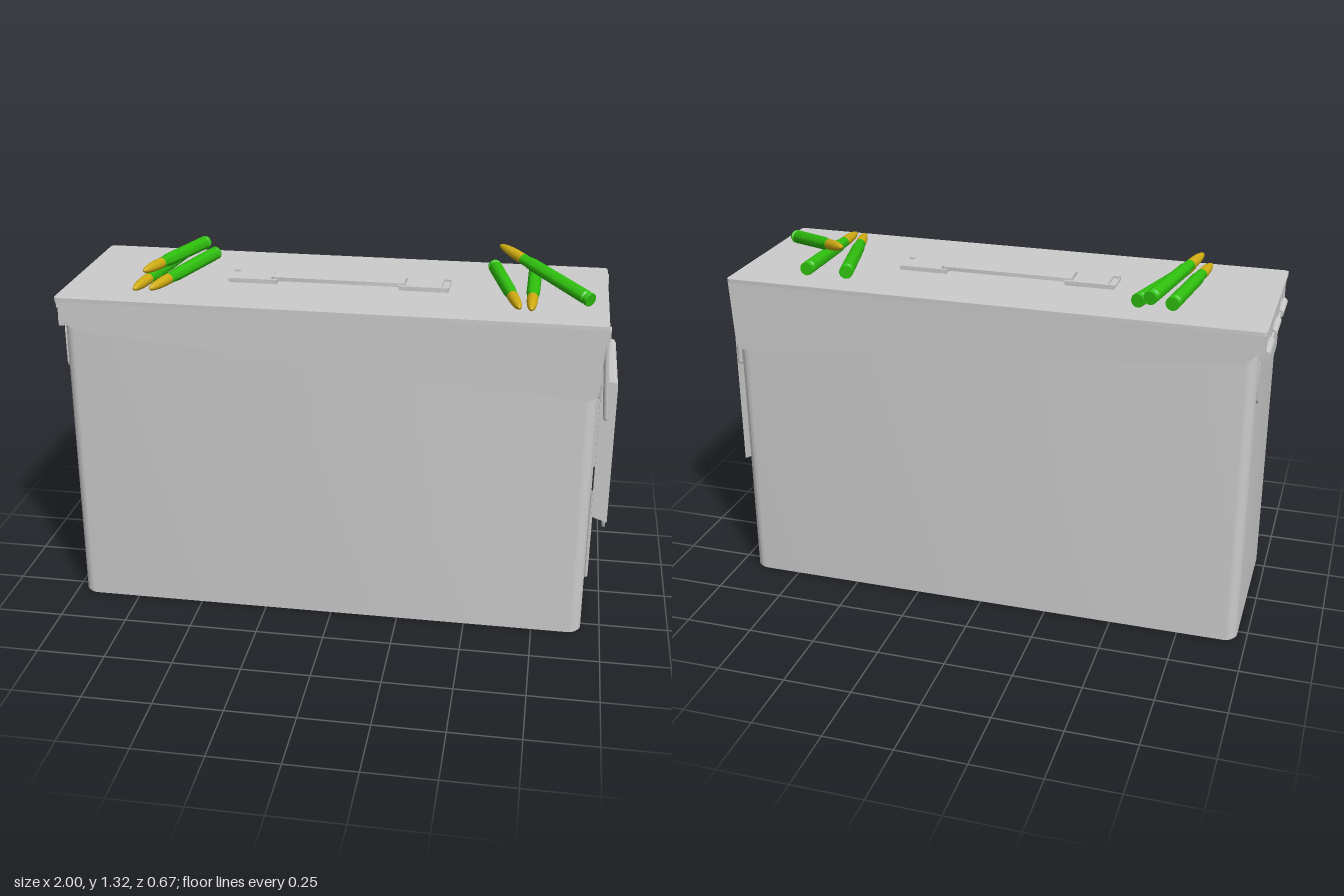
import * as THREE from 'three';
import { toCreasedNormals } from 'three/addons/utils/BufferGeometryUtils.js';

const V = (x, y, z) => new THREE.Vector3(x, y, z);
const paint = (color) => new THREE.MeshStandardMaterial({ color, side: THREE.DoubleSide });

export function createModel() {
  const root = new THREE.Group();
  const grey = paint(0xcccccc), green = paint(0x2fc00e), gold = paint(0xd0ac12);

  const add = (name, geo, parent = root, mat = grey) => {
    const m = new THREE.Mesh(geo, mat);
    m.name = name;
    parent.add(m);
    return m;
  };
  const group = (name, parent = root) => {
    const g = new THREE.Group();
    g.name = name;
    parent.add(g);
    return g;
  };
  // Box given by its two corners
  const box = (name, x0, x1, y0, y1, z0, z1, parent) => {
    const m = add(name, new THREE.BoxGeometry(x1 - x0, y1 - y0, z1 - z0), parent);
    m.position.set((x0 + x1) / 2, (y0 + y1) / 2, (z0 + z1) / 2);
    return m;
  };
  const extrude = (shape, depth) => toCreasedNormals(
    new THREE.ExtrudeGeometry(shape, { depth, bevelEnabled: false, curveSegments: 8 }), 0.5);
  const roundRect = (x0, x1, y0, y1, r) => {
    const s = new THREE.Shape(), h = Math.PI / 2;
    s.absarc(x1 - r, y1 - r, r, 0, h);
    s.absarc(x0 + r, y1 - r, r, h, 2 * h);
    s.absarc(x0 + r, y0 + r, r, 2 * h, 3 * h);
    s.absarc(x1 - r, y0 + r, r, 3 * h, 4 * h);
    return s;
  };
  // Horizontal rounded slab
  const slab = (name, x0, x1, z, r, y0, y1, parent) => {
    const m = add(name, extrude(roundRect(x0, x1, -z, z, r), y1 - y0).rotateX(-Math.PI / 2), parent);
    m.position.y = y0;
    return m;
  };
  // Upright plate on an end wall, drawn in (-z, y)
  const endPlate = (name, shape, x, depth, parent) => {
    const m = add(name, extrude(shape, depth).rotateY(Math.PI / 2), parent);
    m.position.x = x;
    return m;
  };
  // Bent wire made of straight rods with ball joints
  const wire = (name, pts, r, parent) => {
    const path = new THREE.CurvePath();
    for (let i = 1; i < pts.length; i++) path.add(new THREE.LineCurve3(pts[i - 1], pts[i]));
    const g = group(name, parent);
    path.curves.forEach((c) => {
      add('wireRod', new THREE.TubeGeometry(c, 1, r, 8), g);
      add('wireBend', new THREE.SphereGeometry(r, 8, 6), g).position.copy(c.v2);
    });
    return g;
  };
  const rodZ = (name, x, y, z0, z1, r, parent) => {
    const m = add(name, new THREE.CylinderGeometry(r, r, z1 - z0, 12).rotateX(Math.PI / 2), parent);
    m.position.set(x, y, (z0 + z1) / 2);
    return m;
  };

  // Can body
  slab('body', -0.965, 0.93, 0.327, 0.045, 0.008, 1.19);
  slab('bottomRim', -0.958, 0.923, 0.32, 0.04, 0, 0.008);

  // Lid: top sheet, sloping side skirts and end lips
  const lid = group('lid');
  slab('lidTop', -0.99, 0.95, 0.337, 0.015, 1.186, 1.2, lid);
  const skirt = new THREE.Shape();
  skirt.moveTo(-0.985, 1.19);
  skirt.lineTo(-0.968, 1.14);
  skirt.bezierCurveTo(-0.955, 1.1, -0.93, 1.08, -0.88, 1.074);
  skirt.lineTo(0.88, 0.929);
  skirt.quadraticCurveTo(0.928, 0.925, 0.932, 0.97);
  skirt.lineTo(0.945, 1.19);
  for (const s of [1, -1]) {
    add('lidSkirt', extrude(skirt, 0.012), lid).position.z = s > 0 ? 0.322 : -0.334;
  }
  box('latchEndLip', 0.928, 0.945, 1.155, 1.19, -0.325, 0.325, lid);
  box('hingeEndLip', -0.985, -0.964, 1.16, 1.19, -0.325, 0.325, lid);

  // Hinge on the left-hand end: plate, straps, knuckles and pin
  const hinge = group('hinge');
  endPlate('hingePlate', roundRect(-0.29, 0.29, 0.92, 1.1, 0.025), -0.972, 0.012, hinge);
  rodZ('hingePin', -0.982, 1.1, -0.28, 0.28, 0.008, hinge);
  for (const z of [-0.21, 0, 0.21]) {
    rodZ('hingeKnuckle', -0.984, 1.1, z - 0.07, z + 0.07, 0.015, hinge);
  }
  for (const z of [-0.29, -0.105, 0.105, 0.29]) {
    box('hingeStrap', -0.984, -0.964, 1.09, 1.17, z - 0.025, z + 0.025, hinge);
  }

  // Carrying handle lying flat on the lid
  const handle = group('handle');
  for (const [x0, x1] of [[-0.42, -0.24], [0.205, 0.385]]) {
    slab('handleBracket', x0, x1, 0.058, 0.008, 1.2, 1.208, handle);
    for (const s of [1, -1]) {
      box('bracketRail', x0, x1, 1.2, 1.216, s * 0.052 - 0.006, s * 0.052 + 0.006, handle);
    }
    slab('bracketCover', x0 + 0.025, x1 - 0.025, 0.046, 0.008, 1.208, 1.216, handle);
  }
  slab('handleGrip', -0.26, 0.225, 0.044, 0.008, 1.208, 1.222, handle);

  // Latch: mount, hinged cover with hole, pull tab and side flanges
  const latch = group('latch');
  latch.position.z = 0.01;
  endPlate('latchMount', roundRect(-0.225, 0.225, 0.9, 1.135, 0.006), 0.928, 0.014, latch);
  box('mountRib', 0.935, 0.955, 0.96, 0.985, -0.225, 0.225, latch);
  const cover = new THREE.Shape();
  cover.moveTo(-0.225, 0.95);
  cover.lineTo(-0.225, 0.42);
  cover.lineTo(-0.14, 0.42);
  cover.lineTo(-0.127, 0.37);
  cover.quadraticCurveTo(-0.122, 0.337, -0.09, 0.337);
  cover.lineTo(0.09, 0.337);
  cover.quadraticCurveTo(0.122, 0.337, 0.127, 0.37);
  cover.lineTo(0.14, 0.42);
  cover.lineTo(0.225, 0.42);
  cover.lineTo(0.225, 0.95);
  const hole = new THREE.Path();
  hole.absarc(0, 0.585, 0.039, 0, Math.PI * 2, true);
  cover.holes.push(hole);
  endPlate('latchCover', cover, 0.987, 0.01, latch);
  const flange = new THREE.Shape();
  flange.moveTo(0.94, 0.44);
  flange.lineTo(0.99, 0.422);
  flange.lineTo(0.995, 0.95);
  flange.quadraticCurveTo(0.985, 0.967, 0.96, 0.965);
  flange.lineTo(0.94, 0.93);
  for (const z of [-0.225, 0.215]) add('latchFlange', extrude(flange, 0.01), latch).position.z = z;
  box('latchTopFold', 0.945, 0.985, 0.95, 0.963, -0.22, 0.22, latch);
  rodZ('latchTopBend', 0.981, 0.949, -0.222, 0.222, 0.015, latch);

  // Wire bail running from the lid into the latch cover
  wire('latchBail', [
    V(0.962, 0.847, 0.21), V(0.962, 0.847, 0.265), V(0.942, 1.158, 0.293),
    V(0.942, 1.158, -0.293), V(0.962, 0.847, -0.265), V(0.962, 0.847, -0.21),
  ], 0.01, latch);
  for (const z of [-0.3, 0.3]) box('bailHook', 0.93, 0.956, 1.145, 1.186, z - 0.02, z + 0.02, latch);

  // Lower wire loop below the tab
  wire('lowerLoop', [
    V(0.94, 0.5, 0.142), V(0.94, 0.14, 0.122), V(0.94, 0.14, -0.122), V(0.94, 0.5, -0.142),
  ], 0.008, latch);

  // Cartridges: case with rim and groove, pointed bullet
  const caseGeo = toCreasedNormals(new THREE.LatheGeometry([
    [0, 0], [0.024, 0], [0.025, 0.003], [0.025, 0.011], [0.02, 0.014], [0.02, 0.021],
    [0.025, 0.027], [0.0235, 0.3], [0.02, 0.325], [0.02, 0.355], [0, 0.355],
  ].map(([r, y]) => new THREE.Vector2(r, y)), 16), 0.5);
  const bulletGeo = new THREE.LatheGeometry([
    [0.0195, 0.35], [0.0195, 0.39], [0.0175, 0.425], [0.0135, 0.455], [0.008, 0.476], [0, 0.485],
  ].map(([r, y]) => new THREE.Vector2(r, y)), 16);
  const cartridges = [
    [V(-0.655, 1.225, -0.218), V(-0.715, 1.222, 0.265)],
    [V(-0.535, 1.225, -0.218), V(-0.66, 1.222, 0.25)],
    [V(-0.585, 1.253, -0.26), V(-0.69, 1.275, 0.215)],
    [V(0.532, 1.225, -0.217), V(0.645, 1.222, 0.252)],
    [V(0.685, 1.225, -0.22), V(0.685, 1.222, 0.265)],
    [V(0.885, 1.226, 0.14), V(0.548, 1.312, -0.2)],
  ];
  for (const [base, tip] of cartridges) {
    const g = group('cartridge');
    g.position.copy(base);
    g.quaternion.setFromUnitVectors(V(0, 1, 0), tip.clone().sub(base).normalize());
    add('cartridgeCase', caseGeo, g, green);
    add('bullet', bulletGeo, g, gold);
  }
  return root;
}
